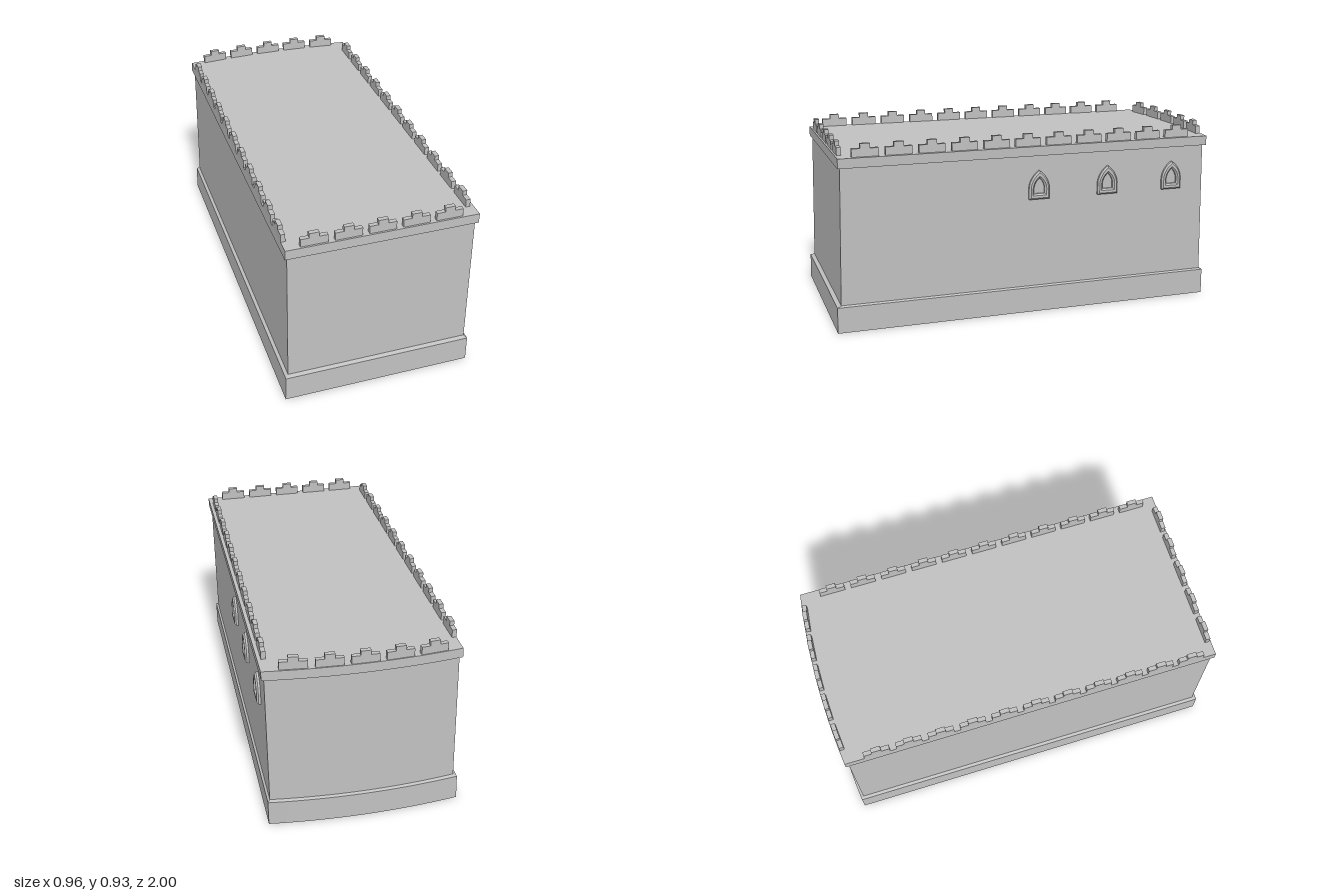
import * as THREE from 'three';
import { toCreasedNormals } from 'three/addons/utils/BufferGeometryUtils.js';

const stone = new THREE.MeshStandardMaterial({ color: 0xc0c0c0, side: THREE.DoubleSide });
stone.name = 'grey stone';

const BULGE = 0.03; // how far the back wall bows outwards
const BACK_STEPS = 16;

// Horizontal outline with a straight front and sides and a bowed back
function ring([y, left, right, front, back]) {
  const points = [[left, y, front], [right, y, front]];
  for (let i = 0; i <= BACK_STEPS; i++) {
    const t = i / BACK_STEPS;
    points.push([right + (left - right) * t, y, back - BULGE * (1 - (2 * t - 1) ** 2)]);
  }
  return points;
}

// Skin between successive outlines, optionally closed on top
function loft(name, sections, closed = false) {
  const rings = sections.map(ring);
  const pos = [];
  for (let k = 0; k < rings.length - 1; k++) {
    const a = rings[k], b = rings[k + 1];
    for (let i = 0; i < a.length; i++) {
      const j = (i + 1) % a.length;
      pos.push(...a[i], ...a[j], ...b[j], ...a[i], ...b[j], ...b[i]);
    }
  }
  if (closed) {
    const top = rings[rings.length - 1];
    const centre = [0, top[0][1], 0];
    top.forEach((p, i) => pos.push(...centre, ...p, ...top[(i + 1) % top.length]));
  }
  const geo = new THREE.BufferGeometry();
  geo.setAttribute('position', new THREE.Float32BufferAttribute(pos, 3));
  const mesh = new THREE.Mesh(toCreasedNormals(geo, 0.4), stone);
  mesh.name = name;
  return mesh;
}

// Stepped merlon: wide block with a narrow block on top
const merlonShape = new THREE.Shape([
  [-0.065, 0], [0.065, 0], [0.065, 0.041], [0.024, 0.041],
  [0.024, 0.064], [-0.024, 0.064], [-0.024, 0.041], [-0.065, 0.041],
].map(([x, y]) => new THREE.Vector2(x, y)));
const merlonGeo = new THREE.ExtrudeGeometry(merlonShape, { depth: 0.022, bevelEnabled: false });
merlonGeo.translate(0, 0, -0.011);

function merlon(x, z, turn) {
  const mesh = new THREE.Mesh(merlonGeo, stone);
  mesh.name = 'merlon';
  mesh.position.set(x, 0.862, z);
  mesh.rotation.y = turn;
  return mesh;
}

// Pointed arch outline, standing on y = base
function arch(path, half, base, spring, tip) {
  path.moveTo(-half, base);
  path.lineTo(half, base);
  path.lineTo(half, spring);
  path.quadraticCurveTo(half * 0.9, spring + (tip - spring) * 0.6, 0, tip);
  path.quadraticCurveTo(-half * 0.9, spring + (tip - spring) * 0.6, -half, spring);
  return path;
}

function windowGeometry() {
  const shape = arch(new THREE.Shape(), 0.046, 0.009, 0.06, 0.138);
  shape.holes.push(arch(new THREE.Path(), 0.036, 0.022, 0.06, 0.12));
  return new THREE.ExtrudeGeometry(shape, {
    depth: 0.016, bevelThickness: 0.008, bevelSize: 0.008, bevelSegments: 1, curveSegments: 8,
  });
}

export function createModel() {
  const model = new THREE.Group();
  model.name = 'castleHall';

  // Shell, open underneath: [y, left, right, front, back corner]
  model.add(loft('plinth', [
    [0, -0.48, 0.462, 1.0, -0.97],
    [0.13, -0.476, 0.463, 0.998, -0.968],
    [0.137, -0.46, 0.452, 0.978, -0.955],
  ]));
  model.add(loft('walls', [
    [0.137, -0.46, 0.452, 0.978, -0.955],
    [0.815, -0.45, 0.459, 0.961, -0.938],
  ]));
  model.add(loft('corniceAndRoof', [
    [0.815, -0.45, 0.459, 0.961, -0.938],
    [0.815, -0.462, 0.472, 0.973, -0.953],
    [0.863, -0.46, 0.474, 0.972, -0.952],
  ], true));

  // Battlements along the four edges
  const battlements = new THREE.Group();
  battlements.name = 'battlements';
  for (let i = -2; i <= 2; i++) {
    const x = 0.003 + i * 0.1625;
    battlements.add(merlon(x, 0.952, 0));
    battlements.add(merlon(x, -0.966 + 0.15 * x * x, -0.3 * x));
  }
  for (let i = -5; i <= 5; i++) {
    const z = 0.025 + i * 0.1625;
    battlements.add(merlon(-0.449, z, Math.PI / 2));
    battlements.add(merlon(0.445, z, Math.PI / 2));
  }
  model.add(battlements);

  // Pointed window frames on the left wall
  const frameGeo = windowGeometry();
  for (const z of [-0.03, -0.4, -0.76]) {
    const frame = new THREE.Mesh(frameGeo, stone);
    frame.name = 'windowFrame';
    frame.position.set(0.452, 0.592, z);
    frame.rotation.y = Math.PI / 2;
    model.add(frame);
  }
  return model;
}
